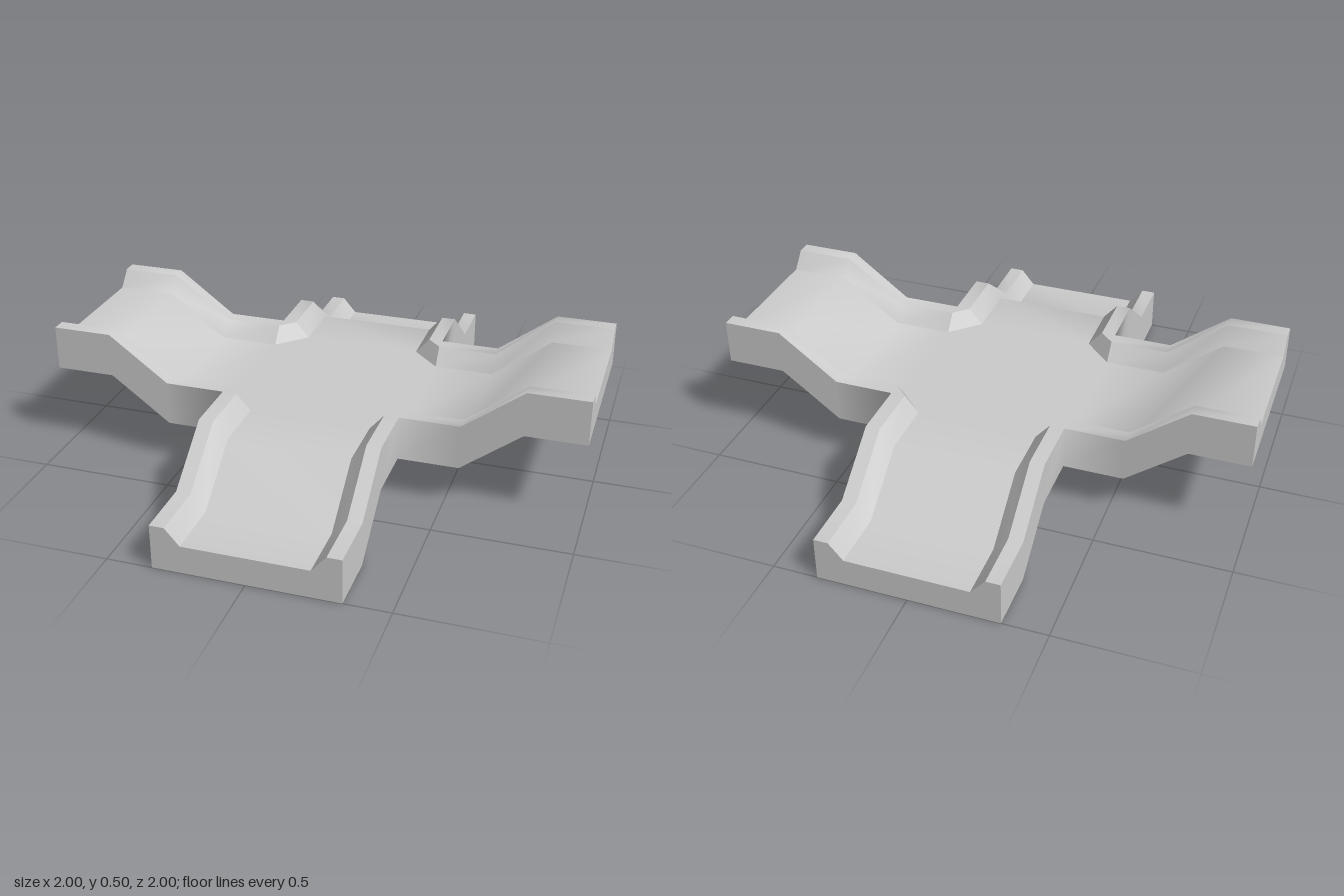
import * as THREE from 'three';
import { mergeVertices } from 'three/addons/utils/BufferGeometryUtils.js';

// Cross-shaped channel: the two x arms step up, the two z arms step down.
const HALF = 1 / 3, LIP = 0.28, FLOOR = 0.227;      // half widths of the cross-section
const TOP = 1 / 6, BED = 0.105, BASE = 1 / 6;       // heights of the cross-section
const STATIONS = [[HALF, 0], [0.556, 0], [0.778, 1 / 6], [1, 1 / 6]]; // distance out, height change
const DIRS = [[1, 0], [0, 1], [-1, 0], [0, -1]];

// Point on arm k: distance out, offset across, height above the underside
function point(k, [out, change], across, h) {
  const [ux, uz] = DIRS[k % 4];
  const s = k % 2 === 0 ? 1 : -1;
  return [ux * out - uz * across, BASE + s * change + h, uz * out + ux * across];
}
const rail = (k, across, h) => STATIONS.map((st) => point(k, st, across, h));
// Rail running in along arm k, round the corner and out along arm k + 1
const cornerRail = (k, d, h) => [...rail(k, d, h).reverse(), ...rail(k + 1, -d, h)];

// Surface between two rails, smooth along its length
function strip(a, b) {
  const index = [];
  const n = a.length;
  for (let i = 0; i < n - 1; i++) index.push(i, n + i, i + 1, i + 1, n + i, n + i + 1);
  const g = new THREE.BufferGeometry();
  g.setAttribute('position', new THREE.Float32BufferAttribute([...a, ...b].flat(), 3));
  g.setIndex(index);
  const merged = mergeVertices(g, 1e-5);
  merged.computeVertexNormals();
  return merged;
}

export function createModel() {
  const model = new THREE.Group();
  const material = new THREE.MeshStandardMaterial({ color: 0xcccccc });
  const add = (parent, name, a, b) => {
    const mesh = new THREE.Mesh(strip(a, b), material);
    mesh.name = name;
    parent.add(mesh);
  };

  // Flat crossing in the middle
  const crossing = new THREE.Group();
  crossing.name = 'crossing';
  model.add(crossing);
  const edge = (s) => [[-HALF, FLOOR], [-FLOOR, HALF], [FLOOR, HALF], [HALF, FLOOR]]
    .map(([x, z]) => [x, BASE + BED, s * z]);
  add(crossing, 'crossingFloor', edge(-1), edge(1));
  const side = (z) => [[-HALF, BASE, z], [HALF, BASE, z]];
  add(crossing, 'crossingUnderside', side(HALF), side(-HALF));

  for (let k = 0; k < 4; k++) {
    // Channel bed, underside and end cap of each arm
    const arm = new THREE.Group();
    arm.name = k % 2 === 0 ? 'risingArm' : 'descendingArm';
    model.add(arm);
    add(arm, 'armFloor', rail(k, -FLOOR, BED), rail(k, FLOOR, BED));
    add(arm, 'armUnderside', rail(k, HALF, 0), rail(k, -HALF, 0));
    const profile = [[-HALF, TOP], [-LIP, TOP], [-FLOOR, BED], [FLOOR, BED], [LIP, TOP], [HALF, TOP]];
    add(arm, 'armEnd',
      profile.map(([c]) => point(k, STATIONS[3], c, 0)),
      profile.map(([c, h]) => point(k, STATIONS[3], c, h)));

    // Curb wrapping the corner between this arm and the next
    const curb = new THREE.Group();
    curb.name = 'cornerCurb';
    model.add(curb);
    add(curb, 'curbOuterWall', cornerRail(k, HALF, 0), cornerRail(k, HALF, TOP));
    add(curb, 'curbTop', cornerRail(k, HALF, TOP), cornerRail(k, LIP, TOP));
    const upper = cornerRail(k, LIP, TOP), lower = cornerRail(k, FLOOR, BED);
    for (const [from, to] of [[0, 4], [3, 5], [4, 8]]) {
      add(curb, 'curbInnerSlope', upper.slice(from, to), lower.slice(from, to));
    }
  }
  return model;
}
